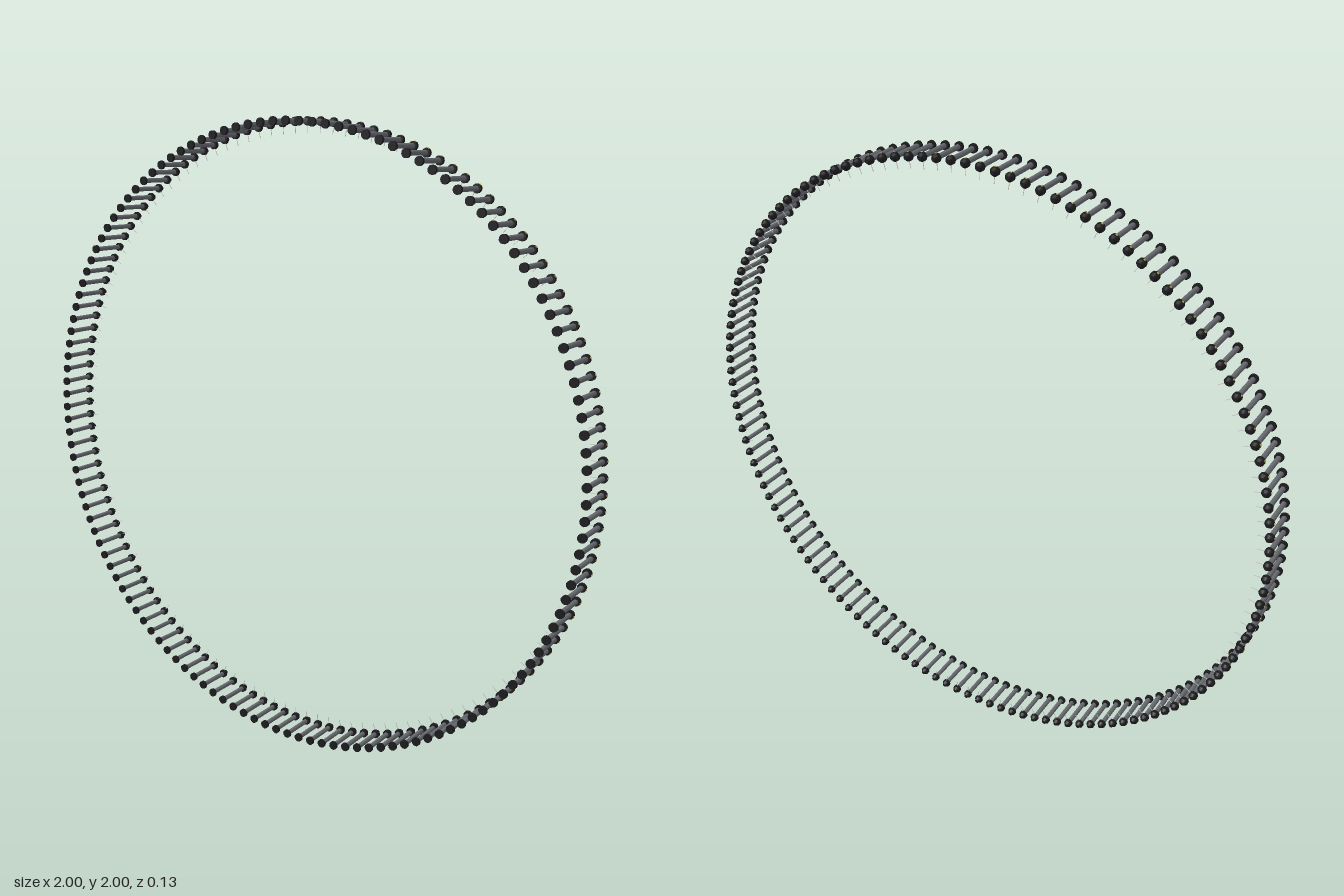
import * as THREE from 'three';

const COUNT = 132;      // pins round the ring
const RADIUS = 0.985;   // ring radius to pin centres
const CENTRE_Y = 1.001;

function material(name, color, extra = {}) {
  const m = new THREE.MeshStandardMaterial({ color, ...extra });
  m.name = name;
  return m;
}

// Cylinder lying along z, from zBack to zFront
function rodGeometry(rBack, rFront, zBack, zFront, sides) {
  const g = new THREE.CylinderGeometry(rFront, rBack, zFront - zBack, sides);
  g.rotateX(Math.PI / 2);
  g.translate(0, 0, (zBack + zFront) / 2);
  return g;
}

export function createModel() {
  const black = material('black', 0x1c1c1f);
  const steel = material('steel grey', 0x66696e);
  const pale = material('pale grey', 0xc8c8c8);
  const yellow = material('yellow', 0xb8a83a);

  // Pin parts, with +x pointing outward from the ring
  const whisker = new THREE.BoxGeometry(0.026, 0.0014, 0.0014);
  whisker.translate(-0.022, 0, -0.05);
  const dot = new THREE.CylinderGeometry(0.0035, 0.0035, 0.002, 8);
  dot.rotateZ(Math.PI / 2);
  dot.translate(0.0132, 0, -0.05);
  const parts = [
    ['shaft', rodGeometry(0.0075, 0.0075, -0.046, 0.058, 10), steel],
    ['frontHead', rodGeometry(0.0135, 0.0135, 0.056, 0.065, 12), black],
    ['backCollar', rodGeometry(0.0135, 0.0135, -0.055, -0.045, 12), black],
    ['backTip', rodGeometry(0.0065, 0.012, -0.065, -0.055, 12), black],
    ['whisker', whisker, pale],
    ['marker', dot, yellow],
  ];

  // Pins set evenly round the ring
  const group = new THREE.Group();
  group.name = 'pinRing';
  for (let i = 0; i < COUNT; i++) {
    const a = (i / COUNT) * Math.PI * 2;
    const pin = new THREE.Group();
    pin.name = 'pin';
    for (const [name, geometry, mat] of parts) {
      const mesh = new THREE.Mesh(geometry, mat);
      mesh.name = name;
      pin.add(mesh);
    }
    pin.position.set(Math.cos(a) * RADIUS, CENTRE_Y + Math.sin(a) * RADIUS, 0);
    pin.rotation.z = a;
    group.add(pin);
  }
  return group;
}
